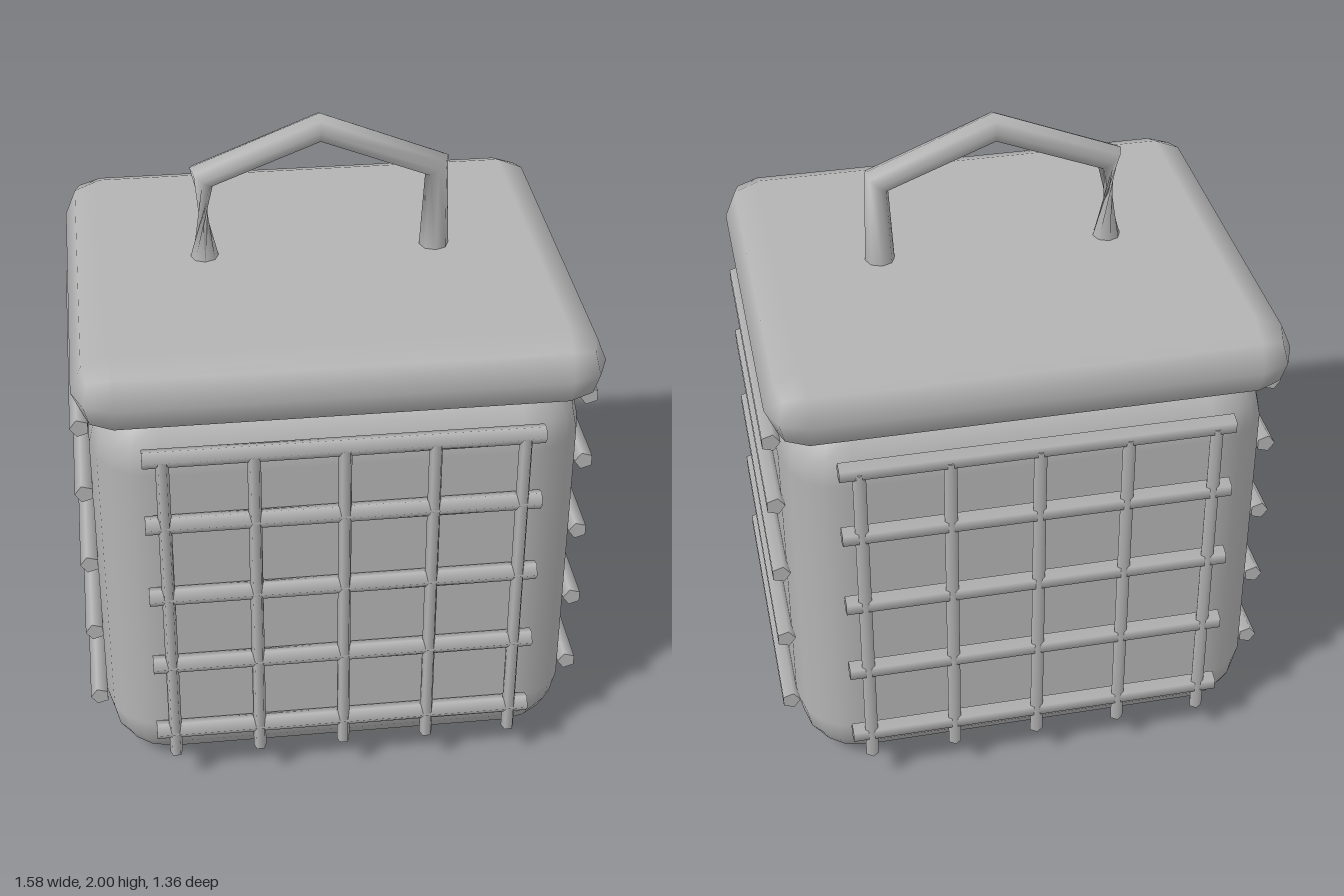
import * as THREE from 'three';
import { RoundedBoxGeometry } from 'three/addons/geometries/RoundedBoxGeometry.js';

const grey = new THREE.MeshStandardMaterial({ color: 0xb3b3b3, side: THREE.DoubleSide });
grey.name = 'plainGrey';

function add(parent, name, geometry, x = 0, y = 0, z = 0) {
  const mesh = new THREE.Mesh(geometry, grey);
  mesh.name = name;
  mesh.position.set(x, y, z);
  parent.add(mesh);
  return mesh;
}

// Five-sided bar along y; start turns the first corner around the axis
const bar = (radius, length, start) =>
  new THREE.CylinderGeometry(radius, radius, length, 5, 1, false, start);

// Handle swept through a few rings; the left foot ring is turned half a circle, pinching that leg
function handleGeometry() {
  const sides = 8, radius = 0.046;
  // x, y, tilt of the ring's in-plane axis, twist
  const rings = [
    [-0.355, 1.53, Math.PI, Math.PI],
    [-0.357, 1.812, Math.PI * 0.77, 0],
    [0, 1.954, Math.PI / 2, 0],
    [0.357, 1.812, Math.PI * 0.23, 0],
    [0.355, 1.53, 0, 0],
  ];
  const positions = [], index = [];
  rings.forEach(([x, y, tilt, twist], i) => {
    for (let j = 0; j < sides; j++) {
      const a = (j / sides) * Math.PI * 2 + twist;
      const u = Math.cos(a) * radius;
      positions.push(x + u * Math.cos(tilt), y + u * Math.sin(tilt), Math.sin(a) * radius);
      if (i === 0) continue;
      const k = (j + 1) % sides, p = (i - 1) * sides, q = i * sides;
      index.push(p + j, p + k, q + j, p + k, q + k, q + j);
    }
  });
  const geometry = new THREE.BufferGeometry();
  geometry.setAttribute('position', new THREE.Float32BufferAttribute(positions, 3));
  geometry.setIndex(index);
  geometry.computeVertexNormals();
  return geometry;
}

export function createModel() {
  const model = new THREE.Group();
  model.name = 'basket';

  // Rounded body and overhanging lid
  add(model, 'body', new RoundedBoxGeometry(1.48, 1.36, 1.24, 2, 0.2), 0, 0.68, 0);
  add(model, 'lid', new RoundedBoxGeometry(1.56, 0.235, 1.33, 1, 0.117), 0, 1.424, 0);
  add(model, 'handle', handleGeometry());

  // Lattice bars around the body
  const lattice = new THREE.Group();
  lattice.name = 'lattice';
  model.add(lattice);
  const across = bar(0.03, 1.18, 0).rotateZ(Math.PI / 2);
  const along = bar(0.03, 0.94, -Math.PI / 2).rotateX(Math.PI / 2);
  const upright = bar(0.021, 1.124, Math.PI);
  for (const side of [-1, 1]) {
    const face = side > 0 ? 'front' : 'back', flank = side > 0 ? 'left' : 'right';
    for (const y of [0.21, 0.477, 0.743, 1.01, 1.247]) {
      add(lattice, face + 'CrossBar', across, 0, y, side * 0.65);
      add(lattice, flank + 'SideBar', along, side * 0.763, y, 0);
    }
    for (let i = -2; i <= 2; i++) {
      add(lattice, face + 'Upright', upright, i * 0.266, 0.684, side * 0.66);
    }
  }
  return model;
}
